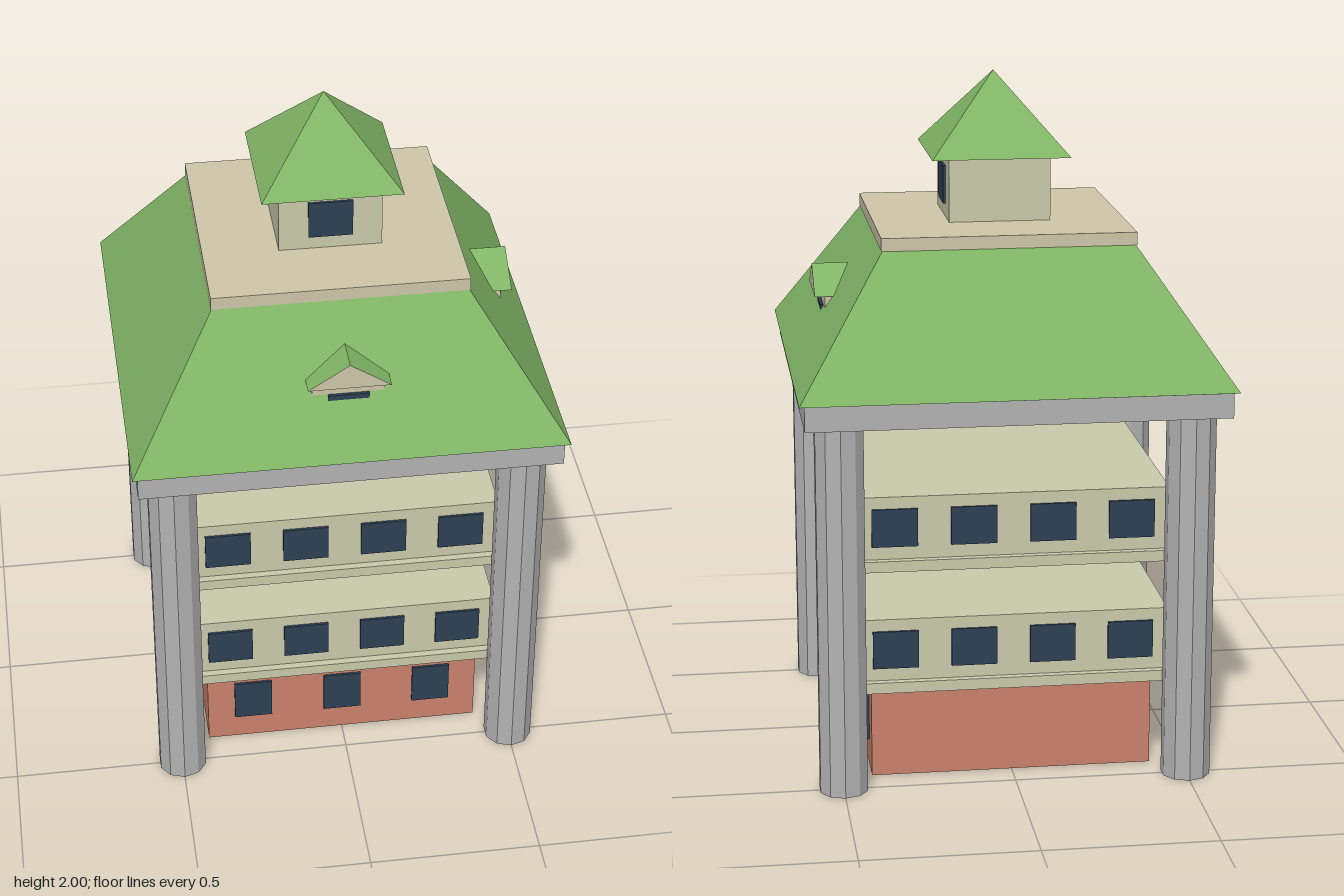
import * as THREE from 'three';

const paint = (name, color) => {
  const m = new THREE.MeshStandardMaterial({ color });
  m.name = name;
  return m;
};

export function createModel() {
  const model = new THREE.Group();
  model.name = 'pavilionTower';

  const green = paint('roofGreen', 0x81b566);
  const cream = paint('wallCream', 0xcacaac);
  const beige = paint('trimBeige', 0xcec7aa);
  const brick = paint('brickRed', 0xca826d);
  const grey = paint('stoneGrey', 0xb3b3b3);
  const glass = paint('windowBlue', 0x2d4053);
  green.flatShading = grey.flatShading = true;

  const add = (parent, name, geometry, material) => {
    const mesh = new THREE.Mesh(geometry, material);
    mesh.name = name;
    parent.add(mesh);
    return mesh;
  };

  // Square block of half-width h between two heights
  const block = (name, h, y0, y1, material) =>
    add(model, name, new THREE.BoxGeometry(2 * h, y1 - y0, 2 * h), material)
      .position.y = (y0 + y1) / 2;

  // Square frustum or pyramid given by half-widths
  const hip = (name, hTop, hBottom, y0, y1) => {
    const g = new THREE.CylinderGeometry(hTop * Math.SQRT2, hBottom * Math.SQRT2, y1 - y0, 4);
    g.rotateY(Math.PI / 4);
    add(model, name, g, green).position.y = (y0 + y1) / 2;
  };

  // A side group: its local +z points outward; quarter turns give the faces
  const side = (name, turn) => {
    const g = new THREE.Group();
    g.name = name;
    g.rotation.y = turn * Math.PI / 2;
    model.add(g);
    return g;
  };

  const windows = (parent, name, xs, w, y0, y1, wall) => {
    for (const x of xs) {
      add(parent, name, new THREE.BoxGeometry(w, y1 - y0, 0.009), glass)
        .position.set(x, (y0 + y1) / 2, wall + 0.003);
    }
  };

  // Ground storey and the two open-air floors with ledges
  block('brickBase', 0.41, 0, 0.275, brick);
  const floors = [0.275, 0.64];
  for (const y of floors) {
    block('floorLedge', 0.472, y, y + 0.032, cream);
    block('floorWalls', 0.45, y + 0.032, y + 0.216, cream);
  }

  // Corner columns
  for (const x of [-0.5, 0.5]) {
    for (const z of [-0.5, 0.5]) {
      add(model, 'column', new THREE.CylinderGeometry(0.0715, 0.0715, 1.095, 10), grey)
        .position.set(x, 0.5475, z);
    }
  }

  // Main roof, cap and lookout turret
  block('roofSlab', 0.6, 1.093, 1.168, grey);
  hip('mainRoof', 0.36, 0.615, 1.168, 1.545);
  block('roofCap', 0.363, 1.545, 1.582, beige);
  block('turretWalls', 0.147, 1.582, 1.77, cream);
  hip('turretRoof', 0, 0.2, 1.77, 2);

  // Dormer roof: triangular prism, green slopes with beige gable and soffit
  const dormerRoof = () => {
    const [w, y0, y1, back, front] = [0.117, 1.367, 1.443, 0.4, 0.535];
    const L = [-w, y0, front], R = [w, y0, front], T = [0, y1, front];
    const l = [-w, y0, back], r = [w, y0, back], t = [0, y1, back];
    const corners = [
      R, r, t, R, t, T, l, L, T, l, T, t, // slopes
      L, R, T, r, l, t, l, r, R, l, R, L, // gables and soffit
    ];
    const g = new THREE.BufferGeometry();
    g.setAttribute('position', new THREE.Float32BufferAttribute(corners.flat(), 3));
    g.computeVertexNormals();
    g.addGroup(0, 12, 0);
    g.addGroup(12, 12, 1);
    return g;
  };

  for (let turn = 0; turn < 4; turn++) {
    const face = side('side' + (turn + 1), turn);

    // Floor windows on every side
    for (const y of floors) {
      windows(face, 'floorWindow', [-0.341, -0.114, 0.114, 0.341], 0.132, y + 0.07, y + 0.181, 0.45);
    }

    // The front and left sides also have base windows, a turret window and a dormer
    if (turn > 1) continue;
    windows(face, 'baseWindow', [-0.272, 0, 0.272], 0.113, 0.08, 0.212, 0.41);
    windows(face, 'turretWindow', [0], 0.126, 1.622, 1.733, 0.147);

    add(face, 'dormerWalls', new THREE.BoxGeometry(0.204, 0.1, 0.105), beige)
      .position.set(0, 1.319, 0.4525);
    windows(face, 'dormerWindow', [0], 0.116, 1.25, 1.331, 0.508);
    add(face, 'dormerRoof', dormerRoof(), [green, beige]);
  }

  return model;
}
